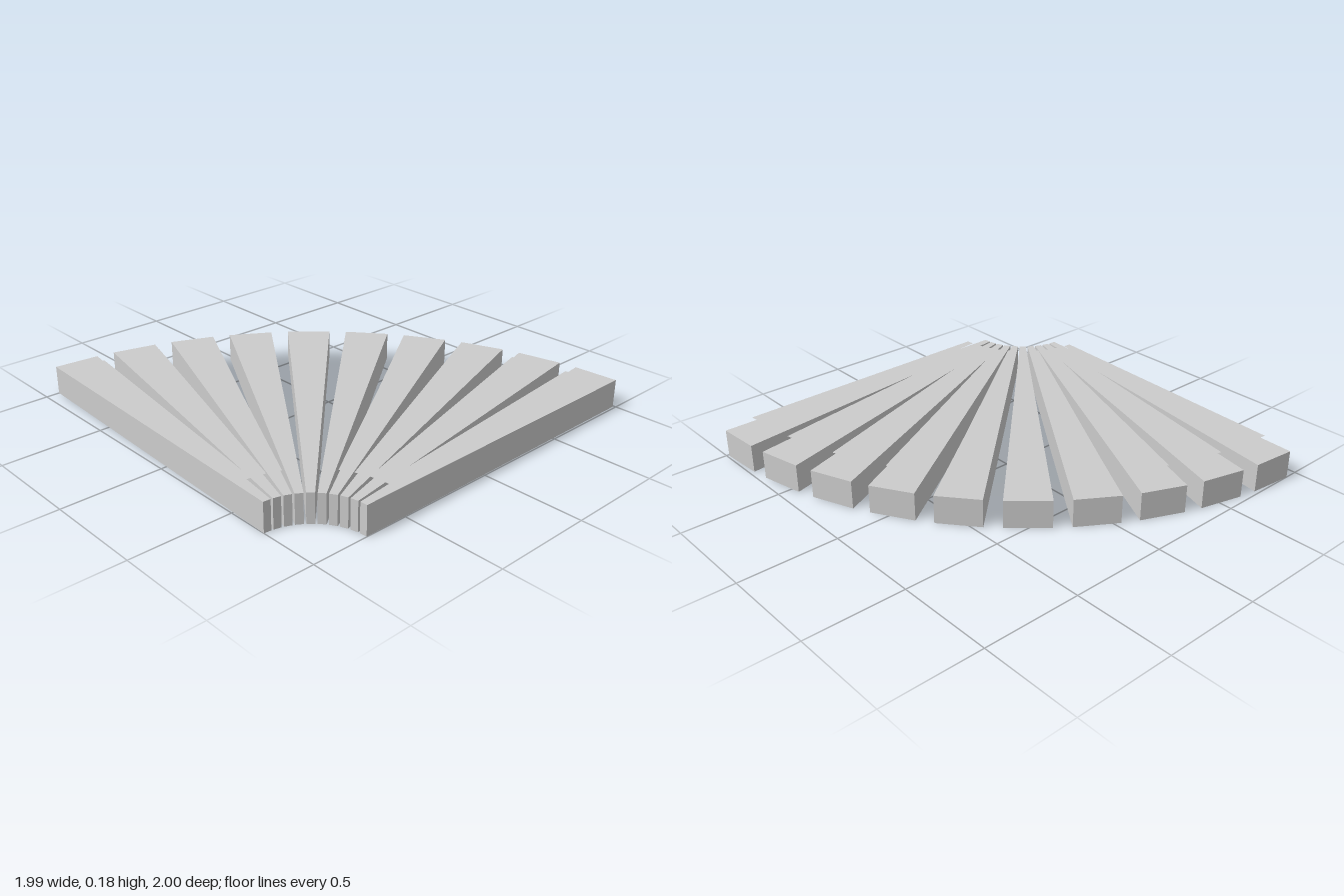
import * as THREE from 'three';

const KEYS = 10;
const FIRST_ANGLE = THREE.MathUtils.degToRad(3.5);
const STEP = THREE.MathUtils.degToRad(9);
const HEIGHT = 0.144;
const PLATE_Y = 0.176;

// Tapered outline along +x, from radius r0 (half width w0) to r1 (half width w1)
function wedge(r0, w0, r1, w1) {
  return new THREE.Shape([
    new THREE.Vector2(r0, -w0),
    new THREE.Vector2(r1, -w1),
    new THREE.Vector2(r1, w1),
    new THREE.Vector2(r0, w0),
  ]);
}

export function createModel() {
  const model = new THREE.Group();
  model.name = 'fanOfKeys';
  const grey = new THREE.MeshStandardMaterial({ color: 0xcccccc, side: THREE.DoubleSide });
  grey.name = 'light grey';

  // Solid tapered bar, lying flat
  const barGeometry = new THREE.ExtrudeGeometry(wedge(0.291, 0.018, 1.997, 0.1125), {
    depth: HEIGHT, bevelEnabled: false,
  }).rotateX(-Math.PI / 2);

  // Flat sheet hovering just above each bar
  const plateGeometry = new THREE.ShapeGeometry(wedge(0.43, 0.02, 1.856, 0.086))
    .rotateX(-Math.PI / 2)
    .translate(0, PLATE_Y, 0);

  // Bars fanned about the corner pivot
  for (let i = 0; i < KEYS; i++) {
    const key = new THREE.Group();
    key.name = `key${i + 1}`;
    const bar = new THREE.Mesh(barGeometry, grey);
    bar.name = 'keyBar';
    const plate = new THREE.Mesh(plateGeometry, grey);
    plate.name = 'keyTopPlate';
    key.add(bar, plate);
    key.position.set(-1.01, 0, 0.998);
    key.rotation.y = FIRST_ANGLE + i * STEP;
    model.add(key);
  }
  return model;
}
